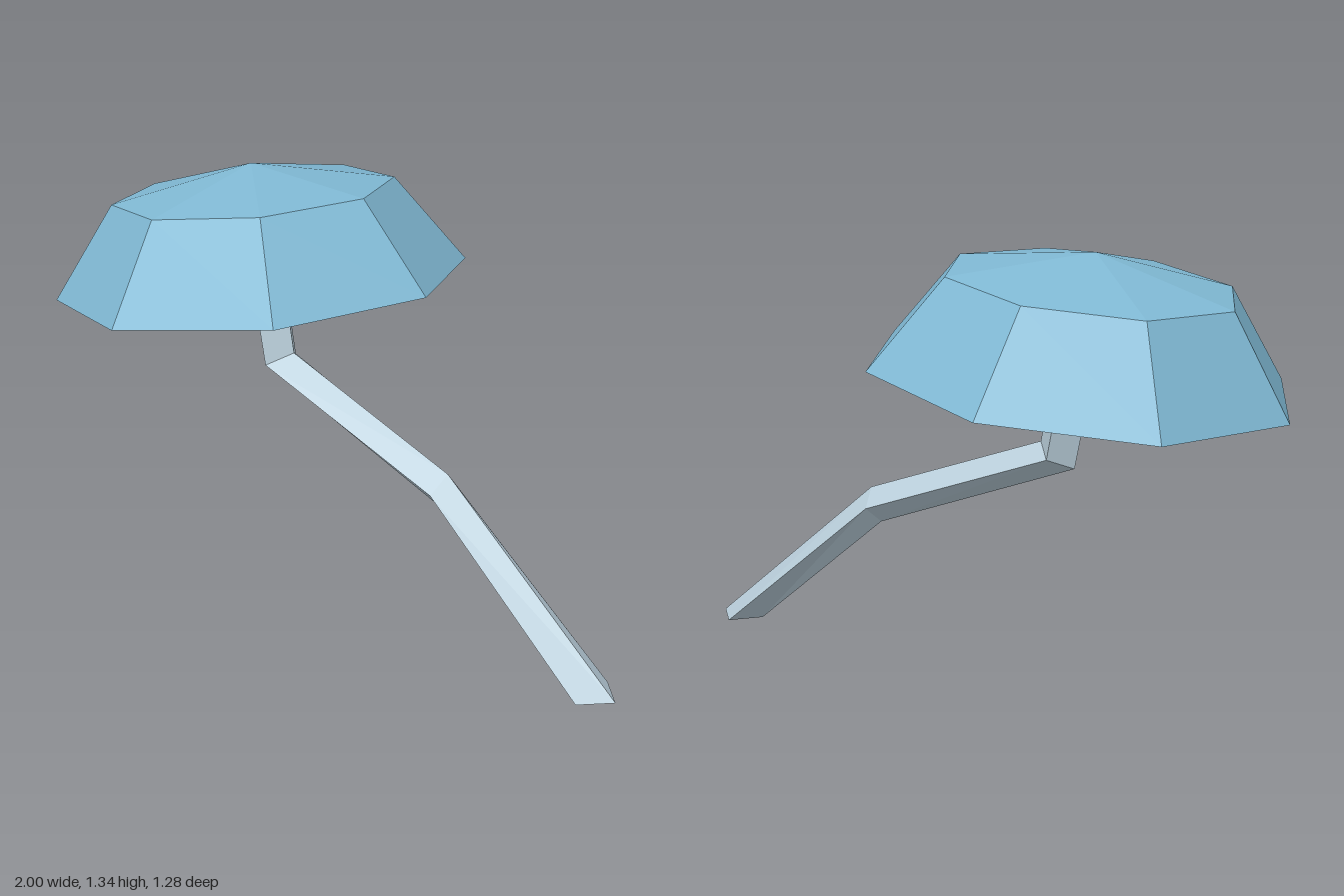
import * as THREE from 'three';

// Skin a tube, open at both ends, through a list of four-cornered sections
function loft(sections) {
  const n = sections[0].length, pos = [], index = [];
  sections.forEach(s => s.forEach(p => pos.push(...p)));
  for (let i = 0; i < sections.length - 1; i++) {
    for (let j = 0; j < n; j++) {
      const a = i * n + j, b = i * n + (j + 1) % n;
      index.push(a, b, a + n, b, b + n, a + n);
    }
  }
  const geo = new THREE.BufferGeometry();
  geo.setAttribute('position', new THREE.Float32BufferAttribute(pos, 3));
  geo.setIndex(index);
  geo.computeVertexNormals();
  return geo;
}

export function createModel() {
  const group = new THREE.Group();
  const flat = (name, color) => new THREE.MeshStandardMaterial({
    name, color, flatShading: true, side: THREE.DoubleSide });
  const capBlue = flat('cap blue', 0x80b9d4);
  const stemGrey = flat('pale stem grey', 0xbacfdb);

  // Hollow eight-sided cap, tilted and turned slightly
  const profile = [[0.64, 0], [0.436, 0.278], [0, 0.364]].map(p => new THREE.Vector2(...p));
  const capGeo = new THREE.LatheGeometry(profile, 8);
  capGeo.rotateY(0.028);
  const cap = new THREE.Mesh(capGeo, capBlue);
  cap.name = 'cap';
  cap.position.set(-0.365, 0.98, 0);
  cap.rotation.z = 0.11;
  group.add(cap);

  // Bent stem with diamond sections: centre x, y, offset to upper corner, half width in z
  const section = ([x, y, dx, dy, w]) => [
    [x + dx, y + dy, 0], [x, y, -w], [x - dx, y - dy, 0], [x, y, w]];
  const stem = new THREE.Mesh(loft([
    [0.915, 0, 0.08, 0, 0.083],
    [0.36, 0.476, 0.018, 0.055, 0.06],
    [-0.292, 0.73, 0.057, 0.035, 0.07],
    [-0.38, 1.2, 0.064, 0.012, 0.072],
  ].map(section)), stemGrey);
  stem.name = 'stem';
  group.add(stem);
  return group;
}
